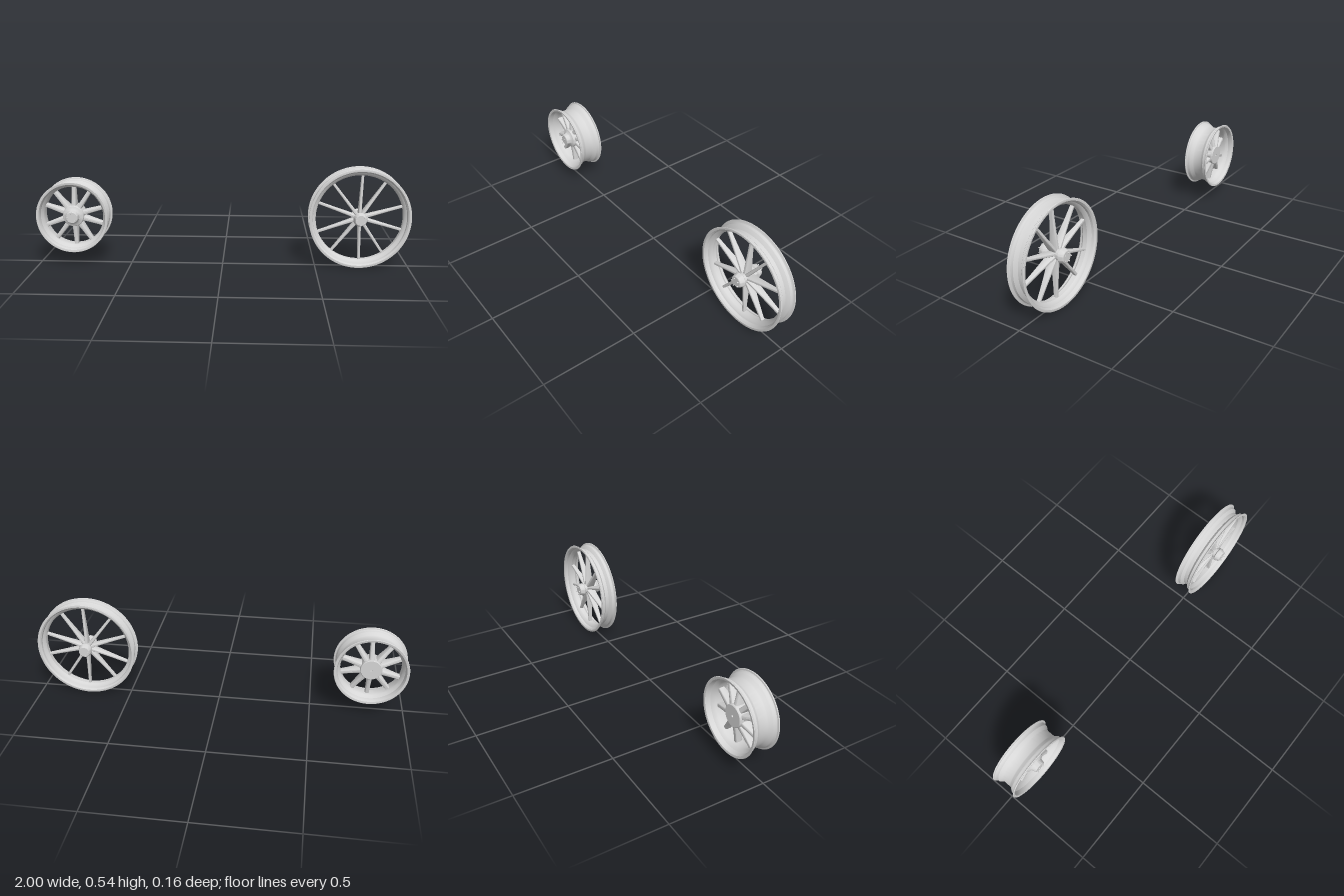
import * as THREE from 'three';
import { toCreasedNormals } from 'three/addons/utils/BufferGeometryUtils.js';

const metal = new THREE.MeshStandardMaterial({ color: 0xd6d6d6 });
metal.name = 'light grey metal';

function addMesh(parent, name, geometry) {
  const mesh = new THREE.Mesh(geometry, metal);
  mesh.name = name;
  parent.add(mesh);
  return mesh;
}

// [radius, z] profile turned around the z axle, listed from back to front along the outside
function turned(profile, segments) {
  const points = profile.map(([r, z]) => new THREE.Vector2(r, z));
  const geometry = new THREE.LatheGeometry(points, segments).rotateX(Math.PI / 2);
  return toCreasedNormals(geometry, 0.5);
}

// Rounded-box spoke lofted along y, deep in z at the hub and slim at the rim
function spokeGeometry({ from, to, width, depth, z }) {
  const geometry = new THREE.CylinderGeometry(1, 1, 1, 20, 6);
  const p = geometry.attributes.position;
  const square = v => Math.sign(v) * Math.abs(v) ** 0.5;
  for (let i = 0; i < p.count; i++) {
    const t = p.getY(i) + 0.5;
    const flare = (1 - t) ** 1.4;
    const w = width[1] + (width[0] - width[1]) * flare;
    const d = depth[1] + (depth[0] - depth[1]) * flare;
    p.setXYZ(i, square(p.getX(i)) * w / 2, from + (to - from) * t,
      square(p.getZ(i)) * d / 2 + z[0] + (z[1] - z[0]) * t);
  }
  return toCreasedNormals(geometry, 0.6);
}

function makeWheel(name, spec) {
  const wheel = new THREE.Group();
  wheel.name = name;
  addMesh(wheel, 'rim', turned(spec.rim, 96));
  addMesh(wheel, 'hub', turned(spec.hub, 48));

  // Five pairs of spokes
  const spoke = spokeGeometry(spec.spoke);
  for (let k = 0; k < 5; k++) {
    for (const side of [-1, 1]) {
      const angle = k * 72 + side * 16;
      addMesh(wheel, 'spoke', spoke).rotation.z = THREE.MathUtils.degToRad(angle - 90);
    }
  }

  // Ring of small headed bolts on each bolted hub face
  const bolt = turned([[0.001, 0], [0.001, 0.0055], [0.003, 0.0055], [0.003, 0.0105], [0, 0.0105]], 10);
  for (const z of spec.boltFaces) {
    for (let k = 0; k < 5; k++) {
      const a = (k * 72 + 36) * Math.PI / 180;
      const mesh = addMesh(wheel, 'hubBolt', bolt);
      mesh.position.set(0.022 * Math.cos(a), 0.022 * Math.sin(a), z);
      if (z < 0) mesh.rotation.y = Math.PI;
    }
  }
  wheel.position.set(...spec.position);
  return wheel;
}

// Mirrors a half profile so it runs from back to front
const mirrored = half => [...half.map(([r, z]) => [r, -z]), ...half.slice().reverse()];

export function createModel() {
  const model = new THREE.Group();
  model.name = 'wheelPair';

  // Narrow tall wheel: outer face with drop centre, then the inner barrel back again
  const tallOuter = mirrored([
    [0.257, 0.0475], [0.266, 0.0485], [0.269, 0.0475], [0.27, 0.0455], [0.268, 0.0435],
    [0.261, 0.0415], [0.257, 0.038], [0.256, 0.034], [0.256, 0.024], [0.253, 0.021],
    [0.239, 0.0105],
  ]);
  const tallInner = mirrored([
    [0.232, 0.012], [0.238, 0.022], [0.248, 0.028], [0.25, 0.04], [0.257, 0.0475],
  ].reverse()).reverse();
  const tallHub = mirrored([
    [0, 0.071], [0.027, 0.071], [0.03, 0.069], [0.037, 0.048], [0.037, 0.044],
    [0.029, 0.038], [0.027, 0.02],
  ]);
  model.add(makeWheel('tallWheel', {
    position: [0.73, 0.271, -0.001],
    rim: [...tallOuter, ...tallInner],
    hub: tallHub,
    spoke: { from: 0.02, to: 0.238, width: [0.018, 0.014], depth: [0.05, 0.02], z: [0, 0] },
    boltFaces: [-0.07, 0.07],
  }));

  // Wide small wheel with a stepped drop centre
  const wideRim = [
    [0.18, -0.07], [0.188, -0.072], [0.192, -0.072], [0.194, -0.069], [0.192, -0.066],
    [0.185, -0.064], [0.182, -0.06], [0.181, -0.055], [0.181, -0.045], [0.178, -0.04],
    [0.168, -0.028], [0.166, -0.024], [0.166, 0.02], [0.168, 0.026], [0.179, 0.041],
    [0.181, 0.045], [0.181, 0.053], [0.182, 0.057], [0.185, 0.061], [0.192, 0.063],
    [0.194, 0.066], [0.192, 0.069], [0.188, 0.069], [0.18, 0.067], [0.175, 0.056],
    [0.174, 0.043], [0.162, 0.027], [0.16, 0.021], [0.16, -0.024], [0.162, -0.03],
    [0.174, -0.044], [0.175, -0.058], [0.18, -0.07],
  ];
  const wideHub = [
    [0, -0.036], [0.006, -0.036], [0.006, -0.046], [0.054, -0.046], [0.057, -0.043],
    [0.057, 0.03], [0.054, 0.036], [0.042, 0.04], [0.036, 0.046], [0.032, 0.066],
    [0.029, 0.069], [0, 0.069],
  ];
  model.add(makeWheel('wideWheel', {
    position: [-0.805, 0.268, 0],
    rim: wideRim,
    hub: wideHub,
    spoke: { from: 0.045, to: 0.165, width: [0.028, 0.022], depth: [0.066, 0.034], z: [-0.006, 0.002] },
    boltFaces: [0.068],
  }));

  return model;
}
